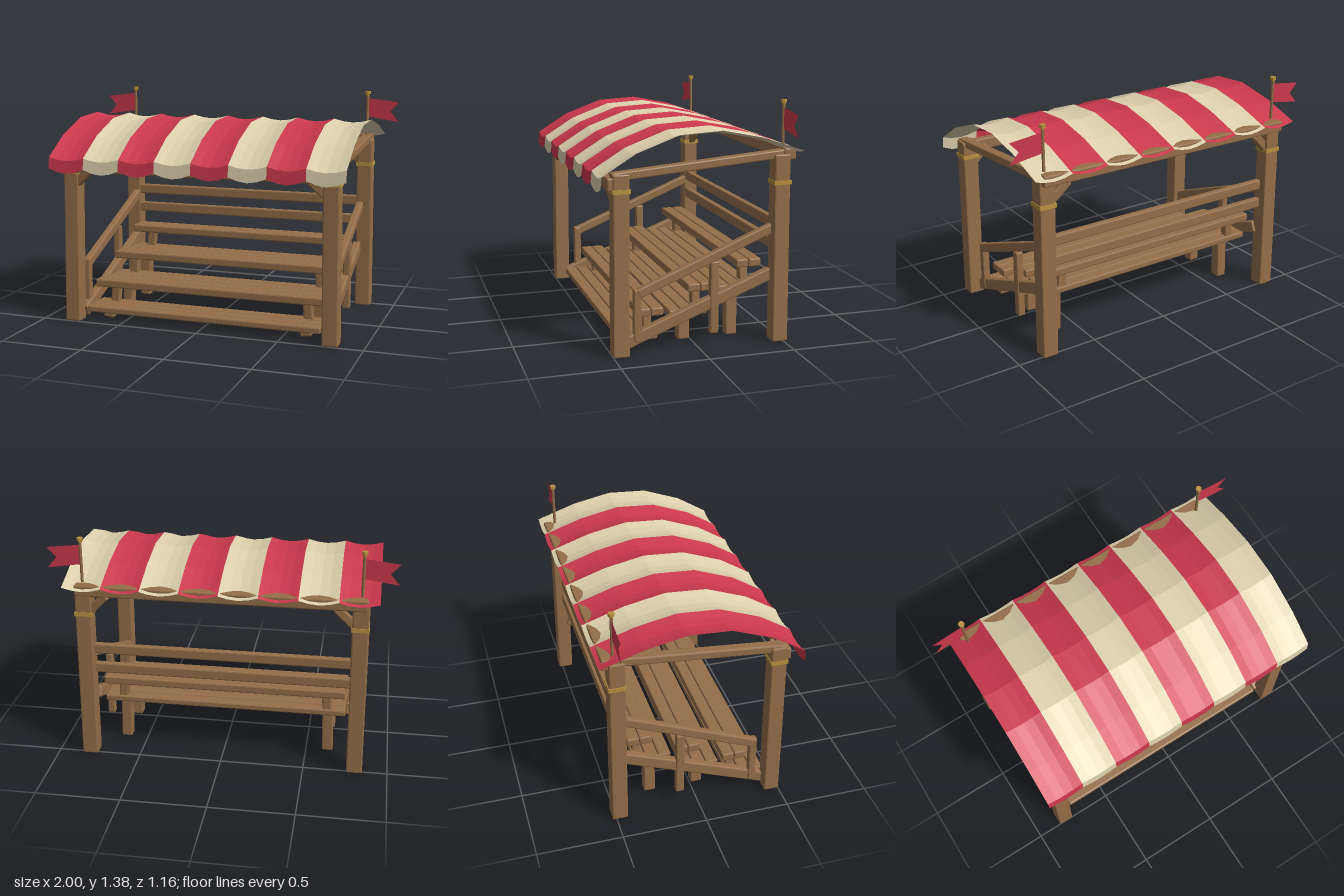
import * as THREE from 'three';
import { RoundedBoxGeometry } from 'three/addons/geometries/RoundedBoxGeometry.js';

const mat = (name, color, extra = {}) => {
  const m = new THREE.MeshStandardMaterial({ color, flatShading: true, ...extra });
  m.name = name;
  return m;
};

export function createModel() {
  const model = new THREE.Group();
  model.name = 'coveredGrandstand';
  const wood = mat('wood', 0x946e49);
  const brass = mat('brass', 0xb8923f);
  const red = mat('red cloth', 0xcb384c, { side: THREE.DoubleSide });
  const cream = mat('cream cloth', 0xdccfac, { side: THREE.DoubleSide });

  const add = (name, geometry, material, x = 0, y = 0, z = 0) => {
    const mesh = new THREE.Mesh(geometry, material);
    mesh.name = name;
    mesh.position.set(x, y, z);
    model.add(mesh);
    return mesh;
  };

  // Chamfered timber with its long axis running from a to b
  const beam = (name, a, b, w, h) => {
    const p = new THREE.Vector3(...a), q = new THREE.Vector3(...b);
    const dir = q.clone().sub(p);
    const geo = new RoundedBoxGeometry(w, h, dir.length(), 1, 0.008);
    const mesh = add(name, geo, wood);
    if (Math.abs(dir.y) > 0.9 * dir.length()) mesh.up.set(0, 0, 1);
    mesh.position.copy(p).add(q).multiplyScalar(0.5);
    mesh.lookAt(q);
    return mesh;
  };

  // Beams across the front and back, and the backrest rails
  beam('frontBeam', [-0.83, 0.965, 0.5], [0.83, 0.965, 0.5], 0.05, 0.07);
  beam('rearBeam', [-0.835, 1.085, -0.52], [0.835, 1.085, -0.52], 0.07, 0.066);
  for (const y of [0.567, 0.69]) {
    beam('backRail', [-0.77, y, -0.455], [0.77, y, -0.455], 0.04, 0.062);
  }

  for (const s of [-1, 1]) {
    // Corner posts, leaning slightly inward
    beam('frontPost', [s * 0.805, 0.003, 0.457], [s * 0.797, 1.02, 0.45], 0.095, 0.092);
    beam('rearPost', [s * 0.805, 0.003, -0.478], [s * 0.797, 1.085, -0.473], 0.095, 0.092);
    beam('rafter', [s * 0.8, 1.002, 0.5], [s * 0.8, 1.088, -0.5], 0.06, 0.048);

    // Brass bands around the posts
    for (const z of [0.451, -0.475]) {
      add('postBand', new THREE.BoxGeometry(0.103, 0.024, 0.1), brass, s * 0.798, 0.927, z);
    }

    // Knee braces
    beam('frontBrace', [s * 0.795, 0.835, 0.465], [s * 0.66, 0.96, 0.48], 0.045, 0.05);
    beam('rearBrace', [s * 0.795, 0.91, -0.475], [s * 0.66, 1.045, -0.495], 0.045, 0.05);

    // Sloping side frame
    beam('stringer', [s * 0.762, 0.052, 0.425], [s * 0.762, 0.393, -0.445], 0.05, 0.07);
    beam('handrail', [s * 0.775, 0.338, 0.345], [s * 0.775, 0.662, -0.445], 0.045, 0.055);
    beam('railPostFront', [s * 0.772, 0.06, 0.348], [s * 0.772, 0.365, 0.348], 0.045, 0.045);
    beam('railPostMiddle', [s * 0.772, 0.07, -0.1], [s * 0.772, 0.49, -0.1], 0.045, 0.05);

    // Flagpole with finial
    const px = s * 0.8, pz = -0.487;
    add('flagpole', new THREE.CylinderGeometry(0.009, 0.009, 0.28, 8), wood, px, 1.23, pz);
    add('finialNeck', new THREE.CylinderGeometry(0.012, 0.01, 0.012, 8), brass, px, 1.362, pz);
    add('finial', new THREE.CylinderGeometry(0.018, 0.018, 0.017, 8), brass, px, 1.376, pz);

    // Swallow-tailed pennant
    const flag = new THREE.Shape([
      [0.8, 1.342], [1.0, 1.318], [0.945, 1.26], [1.0, 1.195], [0.8, 1.225],
    ].map(([x, y]) => new THREE.Vector2(s * x, y)));
    add('pennant', new THREE.ShapeGeometry(flag), red, 0, 0, pz);
  }

  // Three tiers: footboards, a two-plank bench, legs and bench supports
  for (let i = 0; i < 3; i++) {
    const y = 0.12 * i, z = -0.291 * i;
    for (let k = 0; k < 3; k++) {
      const pz = 0.405 - 0.076 * k + z;
      beam('footboard', [-0.735, 0.07 + y, pz], [0.735, 0.07 + y, pz], 0.072, 0.038);
    }
    for (const pz of [0.293 + z, 0.218 + z]) {
      beam('benchPlank', [-0.73, 0.208 + y, pz], [0.73, 0.208 + y, pz], 0.073, 0.048);
    }
    for (const s of [-1, 1]) {
      beam('tierLeg', [s * 0.632, 0.005, 0.331 + z], [s * 0.625, 0.06 + y, 0.331 + z], 0.065, 0.068);
      beam('benchSupport', [s * 0.625, 0.08 + y, 0.254 + z], [s * 0.615, 0.195 + y, 0.254 + z], 0.055, 0.05);
    }
  }

  // Striped canopy: arched [z, y] profile from rear to front, ending in the valance
  const profile = [
    [-0.578, 1.11], [-0.335, 1.192], [-0.097, 1.24], [0.145, 1.226],
    [0.384, 1.138], [0.572, 1.022], [0.579, 0.955],
  ];
  const stripe = 0.225, segs = 4;
  for (let i = 0; i < 8; i++) {
    const geo = new THREE.PlaneGeometry(stripe, 1, segs, profile.length - 1);
    const pos = geo.attributes.position;
    for (let v = 0; v < pos.count; v++) {
      const row = Math.floor(v / (segs + 1)), t = (v % (segs + 1)) / segs;
      const [z, y] = profile[row];
      const sag = Math.sin(Math.PI * t) * (row === profile.length - 1 ? 0.029 : 0.02);
      pos.setXYZ(v, -0.9 + (i + t) * stripe, y - sag, z);
    }
    geo.computeVertexNormals();
    add('canopyStripe', geo, i % 2 ? cream : red);
  }

  return model;
}
